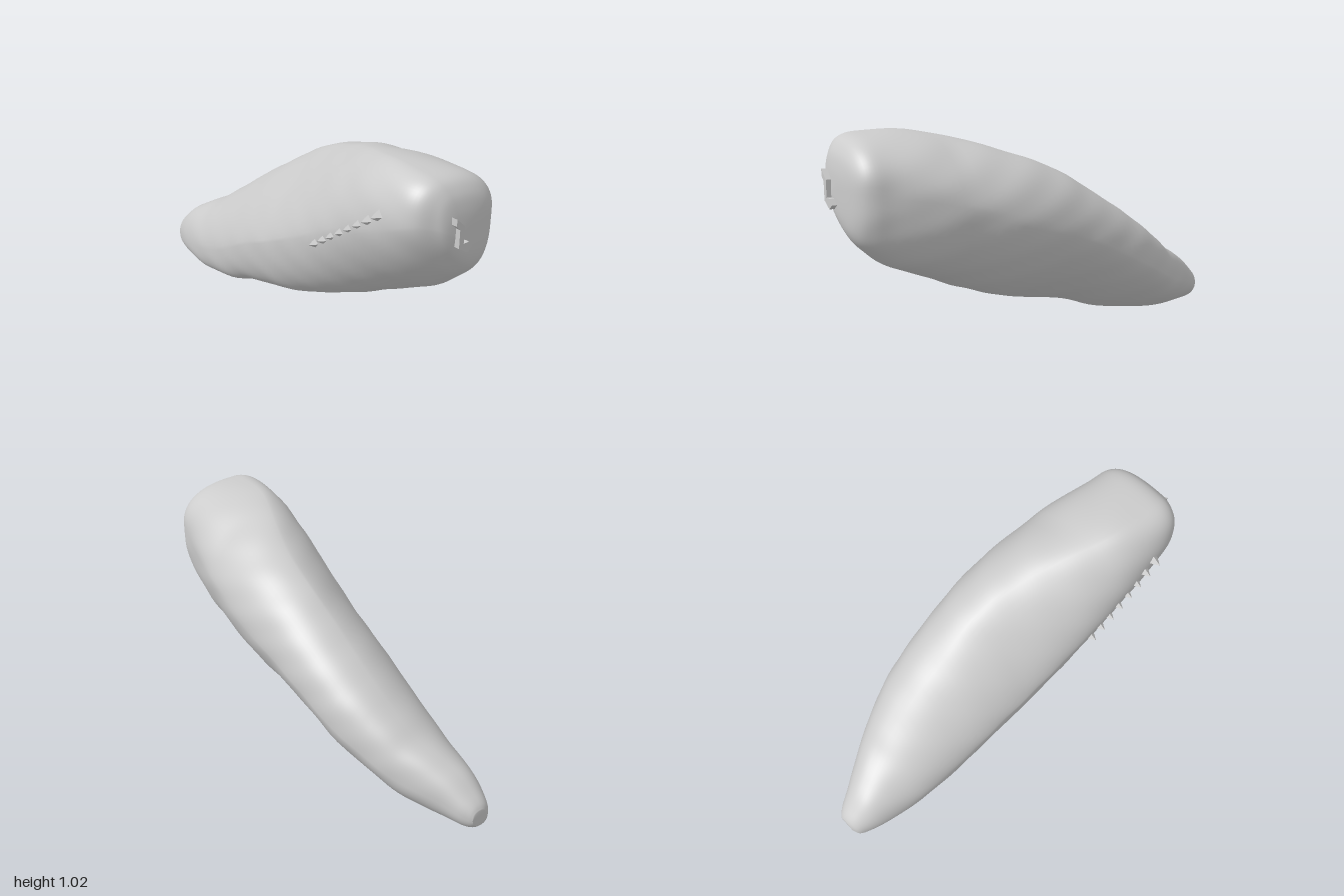
import * as THREE from 'three';

// Cross-sections from the back tip to the blunt front:
// z, top y, bottom y, min x, max x, x of the top ridge
const STATIONS = [
  [-1.0, 0.13, 0.05, -0.09, -0.01, -0.05],
  [-0.985, 0.155, 0.028, -0.12, 0.005, -0.05],
  [-0.95, 0.19, 0.015, -0.14, 0.03, -0.05],
  [-0.88, 0.25, 0.008, -0.165, 0.065, -0.04],
  [-0.8, 0.3, 0.004, -0.185, 0.11, -0.01],
  [-0.7, 0.355, 0.005, -0.205, 0.165, 0.03],
  [-0.6, 0.43, 0.015, -0.22, 0.21, 0.06],
  [-0.4, 0.575, 0.05, -0.24, 0.275, 0.08],
  [-0.2, 0.705, 0.12, -0.255, 0.3, 0.08],
  [0.0, 0.825, 0.16, -0.27, 0.315, 0.08],
  [0.2, 0.905, 0.215, -0.28, 0.318, 0.05],
  [0.4, 0.97, 0.29, -0.29, 0.3, -0.02],
  [0.6, 1.015, 0.38, -0.29, 0.265, -0.1],
  [0.8, 1.025, 0.472, -0.28, 0.205, -0.13],
  [0.9, 1.01, 0.55, -0.25, 0.178, -0.13],
  [0.95, 0.96, 0.61, -0.19, 0.13, -0.11],
  [0.972, 0.89, 0.68, -0.15, 0.05, -0.09],
  [0.98, 0.8, 0.78, -0.09, -0.07, -0.08],
];

// Roundness of the four quarters, height of the widest line on each flank,
// and place of the keel across the width:
// z, upper -x, upper +x, lower -x, lower +x, mid -x, mid +x, keel
const SHAPES = [
  [-1.0, 2.2, 2.5, 2.5, 2.1, 0.35, 0.55, 0.35],
  [-0.5, 1.7, 2.5, 2.7, 1.6, 0.34, 0.6, 0.23],
  [0.0, 1.4, 2.1, 2.2, 1.52, 0.42, 0.6, 0.25],
  [0.5, 1.75, 1.8, 1.7, 1.8, 0.54, 0.58, 0.42],
  [1.0, 2.4, 2.6, 1.55, 3.0, 0.68, 0.55, 0.7],
];

const RINGS = 90;
const SIDES = 64;

function shapeAt(z) {
  const f = THREE.MathUtils.clamp((z + 1) * 2, 0, 3.999);
  const i = Math.floor(f);
  return SHAPES[i].map((v, k) => THREE.MathUtils.lerp(v, SHAPES[i + 1][k], f - i));
}

// Gentle lumps over the surface
function ripple(x, y, z) {
  const lumps = Math.sin(z * 17 + y * 9) * Math.cos(x * 19 - z * 6);
  const terraces = Math.sin((y * 0.9 + z * 0.35) * 46 + x * 8);
  return 1 + 0.005 * lumps + 0.004 * terraces;
}

function bodyGeometry() {
  const curve = (f) => new THREE.CatmullRomCurve3(
    STATIONS.map((s) => new THREE.Vector3(...f(s))), false, 'catmullrom', 0.5);
  const heights = curve((s) => [s[0], s[1], s[2]]);
  const widths = curve((s) => [s[3], s[4], s[5]]);
  const positions = [];
  const index = [];
  for (let i = 0; i <= RINGS; i++) {
    const [z, top, bottom] = heights.getPoint(i / RINGS).toArray();
    const [minX, maxX, topX] = widths.getPoint(i / RINGS).toArray();
    const [, upperNeg, upperPos, lowerNeg, lowerPos, midNeg, midPos, keel] = shapeAt(z);
    const bottomX = THREE.MathUtils.lerp(minX, maxX, keel);
    const centreX = (minX + maxX) / 2;
    const centreY = (top + bottom) / 2;
    for (let j = 0; j < SIDES; j++) {
      const a = (j / SIDES) * Math.PI * 2;
      const c = Math.cos(a);
      const s = Math.sin(a);
      // each quarter is its own superellipse between a ridge and a flank
      const midY = THREE.MathUtils.lerp(bottom, top, c > 0 ? midPos : midNeg);
      const power = s < 0 ? (c > 0 ? lowerPos : lowerNeg) : (c > 0 ? upperPos : upperNeg);
      const cx = Math.sign(c) * Math.abs(c) ** (2 / power);
      const sy = Math.sign(s) * Math.abs(s) ** (2 / power);
      const ridgeX = s < 0 ? bottomX : topX;
      const x = ridgeX + (c > 0 ? maxX - ridgeX : ridgeX - minX) * cx;
      const y = midY + (s > 0 ? top - midY : midY - bottom) * sy;
      const k = ripple(x, y, z);
      positions.push(centreX + (x - centreX) * k, Math.max(0, centreY + (y - centreY) * k), z);
    }
  }
  for (let i = 0; i < RINGS; i++) {
    for (let j = 0; j < SIDES; j++) {
      const a = i * SIDES + j;
      const b = i * SIDES + ((j + 1) % SIDES);
      index.push(a, b, a + SIDES, b, b + SIDES, a + SIDES);
    }
  }
  // close both ends
  for (let j = 1; j < SIDES - 1; j++) {
    const e = RINGS * SIDES;
    index.push(0, j + 1, j, e, e + j, e + j + 1);
  }
  const g = new THREE.BufferGeometry();
  g.setAttribute('position', new THREE.Float32BufferAttribute(positions, 3));
  g.setIndex(index);
  g.computeVertexNormals();
  return g;
}

export function createModel() {
  const model = new THREE.Group();
  const smooth = new THREE.MeshStandardMaterial({ color: 0xcccccc });
  const flat = new THREE.MeshStandardMaterial({ color: 0xcccccc, flatShading: true });

  const body = new THREE.Mesh(bodyGeometry(), smooth);
  body.name = 'body';
  model.add(body);

  // Angular nub on the blunt front
  const outline = [[-0.12, 0.88], [-0.12, 0.85], [-0.1, 0.83], [-0.1, 0.75], [-0.05, 0.72], [-0.025, 0.74], [-0.045, 0.765], [-0.075, 0.765], [-0.075, 0.84]];
  const nubShape = new THREE.Shape(outline.map((p) => new THREE.Vector2(...p)));
  const nub = new THREE.Mesh(new THREE.ExtrudeGeometry(nubShape, { depth: 0.04, bevelEnabled: false }), flat);
  nub.position.z = 0.96;
  nub.name = 'frontNub';
  model.add(nub);

  // Ragged row of small teeth along the right flank
  const teeth = new THREE.Group();
  teeth.name = 'flankTeeth';
  for (let i = 0; i < 8; i++) {
    const t = i / 7;
    const tooth = new THREE.Mesh(new THREE.ConeGeometry(0.03, 0.05, 4), flat);
    tooth.rotation.z = Math.PI / 2;
    tooth.position.set(-0.295, 0.59 + 0.26 * t, 0.37 + 0.37 * t);
    tooth.name = 'tooth';
    teeth.add(tooth);
  }
  model.add(teeth);
  return model;
}
